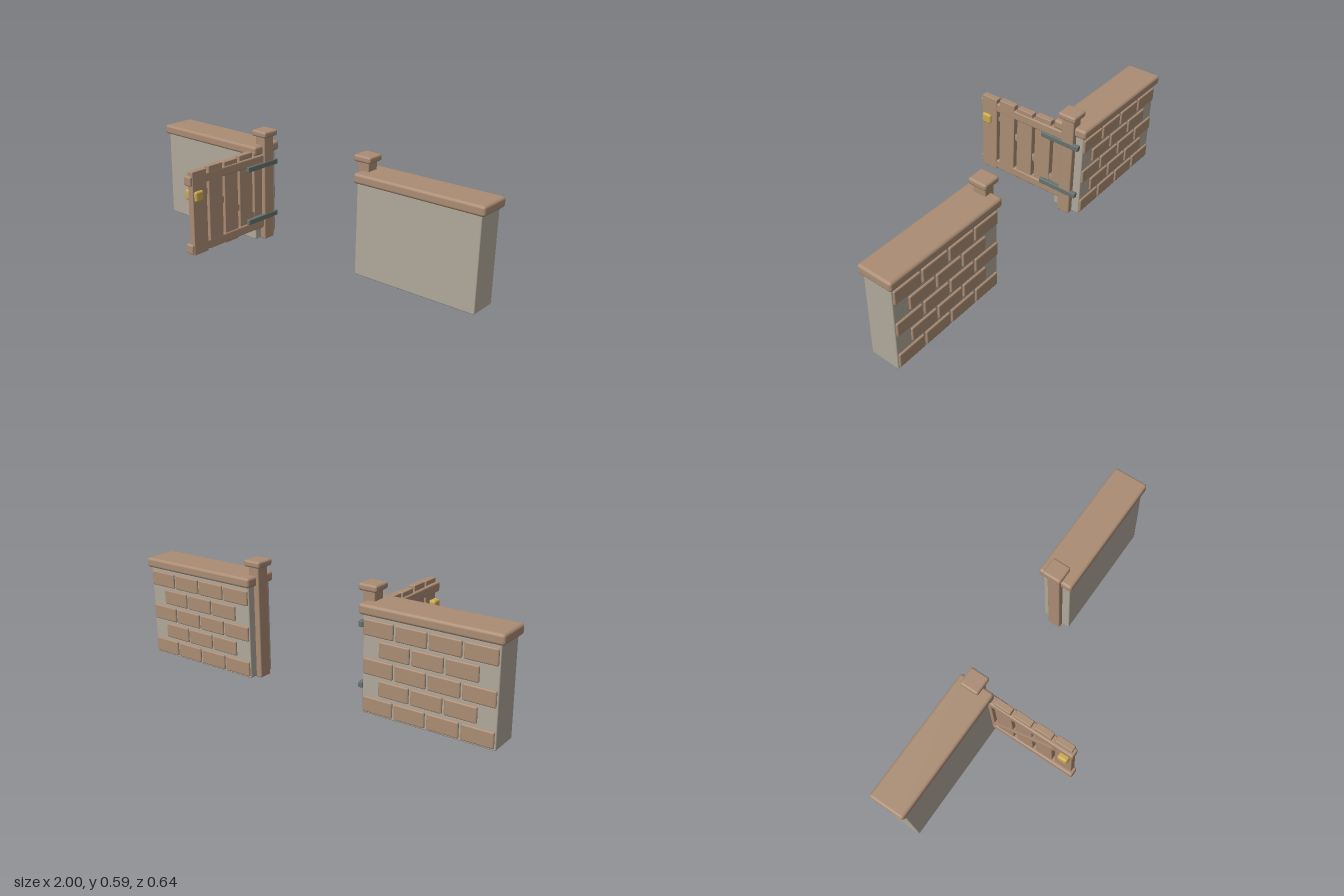
import * as THREE from 'three';
import { RoundedBoxGeometry } from 'three/addons/geometries/RoundedBoxGeometry.js';

const mat = (name, color) => {
  const m = new THREE.MeshStandardMaterial({ color });
  m.name = name;
  return m;
};

export function createModel() {
  const brown = mat('warm brown', 0xaa8c74);
  const stone = mat('grey render', 0xb0a99b);
  const iron = mat('hinge iron', 0x66716d);
  const brass = mat('brass', 0xcaa94f);

  // Soft-edged block given by its extents on each axis
  const block = (parent, name, material, [x0, x1], [y0, y1], [z0, z1], r = 0.006) => {
    const w = x1 - x0, h = y1 - y0, d = z1 - z0;
    const radius = Math.min(r, Math.min(w, h, d) * 0.45);
    const mesh = new THREE.Mesh(new RoundedBoxGeometry(w, h, d, 2, radius), material);
    mesh.name = name;
    mesh.position.set((x0 + x1) / 2, (y0 + y1) / 2, (z0 + z1) / 2);
    parent.add(mesh);
    return mesh;
  };

  const model = new THREE.Group();
  model.name = 'gardenWallAndGate';

  // Two mirrored wall sections, each with coping, post and bricks on the back
  for (const side of [-1, 1]) {
    const g = new THREE.Group();
    g.name = side < 0 ? 'rightWall' : 'leftWall';
    const span = (a, b) => (side > 0 ? [a, b] : [-b, -a]);

    block(g, 'wallBody', stone, span(0.328, 0.982), [0.004, 0.48], [-0.3, -0.148]);
    block(g, 'coping', brown, span(0.313, 1), [0.465, 0.515], [-0.318, -0.133], 0.014);
    block(g, 'post', brown, span(0.299, 0.36), [0, 0.57], [-0.259, -0.19]);
    block(g, 'postCap', brown, span(0.281, 0.377), [0.557, 0.59], [-0.274, -0.175], 0.011);

    // Running bond: rows of four alternate with inset rows of three
    const pitch = 0.163, length = 0.153;
    for (let row = 0; row < 5; row++) {
      const inset = row % 2;
      for (let i = 0; i < 4 - inset; i++) {
        const x = 0.333 + (i + inset / 2) * pitch;
        const y = 0.014 + row * 0.09;
        block(g, 'brick', brown, span(x, x + length), [y, y + 0.075], [-0.309, -0.285], 0.007);
      }
    }
    model.add(g);
  }

  // Open gate hung on the right post
  const gate = new THREE.Group();
  gate.name = 'gate';
  model.add(gate);

  // Upright planks, alternating in height and slightly out of line
  for (let i = 0; i < 5; i++) {
    const z = 0.259 - i * 0.1095;
    const x = -0.3215 - i * 0.0035;
    const lift = (i % 2) * 0.005;
    block(gate, 'plank', brown, [x - 0.017, x + 0.017],
      [0.061 + lift, 0.49 + lift], [z - 0.0465, z + 0.0465], 0.004);
  }

  // Horizontal rails and iron hinges
  for (const y of [0.067, 0.418])
    block(gate, 'rail', brown, [-0.354, -0.3075], [y, y + 0.049], [-0.2, 0.319], 0.008);
  for (const y of [0.113, 0.398])
    block(gate, 'hinge', iron, [-0.32, -0.297], [y, y + 0.028], [-0.29, -0.071], 0.004);

  // Diagonal brace
  const brace = block(gate, 'brace', brown, [-0.352, -0.32], [0.242, 0.27], [-0.18, 0.25], 0.003);
  brace.position.set(-0.336, 0.258, 0.035);
  brace.rotation.x = -Math.atan(0.67);

  // Knob on each face of the end plank
  for (const [a, b] of [[-0.372, -0.336], [-0.312, -0.29]])
    block(gate, 'knob', brass, [a, b], [0.337, 0.39], [0.245, 0.298], 0.011);

  return model;
}
